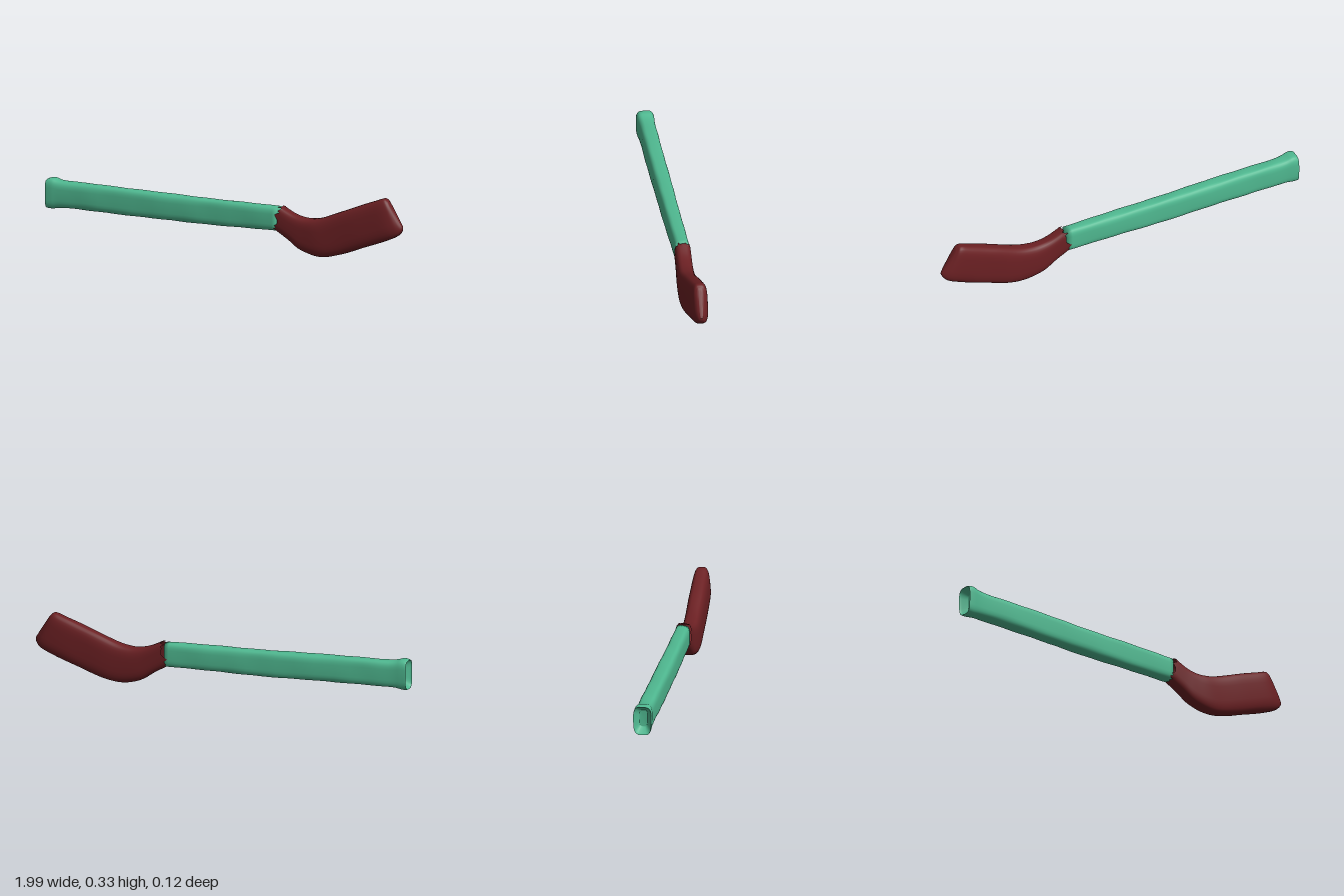
import * as THREE from 'three';

const SIDES = 32;

// Rounded-box cross-sections lofted along x.
// Station: [bottomX, bottomY, topX, topY, centreZ, halfThickness]
function loft(stations, steps, { power = 0.6, cap = [true, true], ragged = 0, wobble = 0 } = {}) {
  const spline = (a, b, c, d, t) => 0.5 * (2 * b + (c - a) * t + (2 * a - 5 * b + 4 * c - d) * t * t + (3 * b - a - 3 * c + d) * t ** 3);
  const last = stations.length - 1;
  const at = (i) => stations[Math.max(0, Math.min(last, i))];
  const rows = [];
  for (let s = 0; s < last; s++)
    for (let k = 0; k < steps; k++)
      rows.push(at(s).map((v, j) => spline(at(s - 1)[j], v, at(s + 1)[j], at(s + 2)[j], k / steps)));
  rows.push(at(last));

  const pos = [], index = [];
  const round = (v) => Math.sign(v) * Math.abs(v) ** power;
  rows.forEach(([bx, by, tx, ty, cz, hz], i) => {
    for (let j = 0; j < SIDES; j++) {
      const a = (j / SIDES) * Math.PI * 2;
      const u = round(Math.cos(a)), w = round(Math.sin(a));
      const x = (bx + tx) / 2 + (u * (tx - bx)) / 2;
      const bump = 1 + wobble * Math.sin(x * 23 + Math.sin(a * 2) * 2) * Math.cos(x * 11 + a);
      // torn edge on the first ring
      const tear = i === 0 ? ragged * (Math.sin(j * 2.4) + 0.6 * Math.sin(j * 5.1)) : 0;
      pos.push(x + tear, (by + ty) / 2 + (u * bump * (ty - by)) / 2, cz + w * hz * bump);
    }
  });
  for (let i = 0; i < rows.length - 1; i++)
    for (let j = 0; j < SIDES; j++) {
      const p = i * SIDES + j, q = i * SIDES + ((j + 1) % SIDES);
      index.push(p, q, p + SIDES, q, q + SIDES, p + SIDES);
    }
  // end caps
  [0, rows.length - 1].forEach((row, e) => {
    if (!cap[e]) return;
    const [bx, by, tx, ty, cz] = rows[row];
    const c = pos.length / 3;
    pos.push((bx + tx) / 2, (by + ty) / 2, cz);
    for (let j = 0; j < SIDES; j++) {
      const p = row * SIDES + j, q = row * SIDES + ((j + 1) % SIDES);
      index.push(c, e ? p : q, e ? q : p);
    }
  });
  const g = new THREE.BufferGeometry();
  g.setAttribute('position', new THREE.Float32BufferAttribute(pos, 3));
  g.setIndex(index);
  g.computeVertexNormals();
  return g;
}

export function createModel() {
  const group = new THREE.Group();
  const add = (name, geometry, color) => {
    const mesh = new THREE.Mesh(geometry, new THREE.MeshStandardMaterial({ color, side: THREE.DoubleSide }));
    mesh.name = name;
    group.add(mesh);
  };

  // Long flat shaft with a flared butt, dished at its end
  add('shaft', loft([
    [-0.955, 0.15, -0.955, 0.235, 0.015, 0.02],
    [-0.985, 0.122, -0.985, 0.258, 0.016, 0.042],
    [-0.995, 0.116, -0.995, 0.264, 0.016, 0.045],
    [-0.965, 0.115, -0.965, 0.269, 0.016, 0.045],
    [-0.90, 0.122, -0.90, 0.256, 0.014, 0.042],
    [-0.70, 0.121, -0.70, 0.254, 0.011, 0.042],
    [-0.30, 0.114, -0.30, 0.245, 0.003, 0.041],
    [0.00, 0.114, 0.00, 0.241, -0.003, 0.039],
    [0.295, 0.116, 0.295, 0.238, -0.009, 0.037],
  ], 8, { power: 0.55, wobble: 0.025 }), 0x4fb890);

  // Bent blade with a torn collar and a rounded toe
  add('blade', loft([
    [0.285, 0.118, 0.315, 0.242, -0.009, 0.040],
    [0.36, 0.075, 0.38, 0.211, -0.008, 0.041],
    [0.43, 0.031, 0.435, 0.197, -0.006, 0.043],
    [0.53, 0.008, 0.49, 0.196, -0.005, 0.045],
    [0.63, 0.022, 0.565, 0.212, -0.008, 0.045],
    [0.78, 0.075, 0.70, 0.265, -0.013, 0.045],
    [0.91, 0.124, 0.83, 0.314, -0.018, 0.043],
    [0.965, 0.150, 0.885, 0.334, -0.020, 0.036],
    [0.988, 0.176, 0.907, 0.325, -0.018, 0.022],
    [0.993, 0.195, 0.917, 0.314, -0.018, 0.008],
  ], 6, { power: 0.62, cap: [false, true], ragged: 0.011, wobble: 0.012 }), 0x6b2023);

  return group;
}
